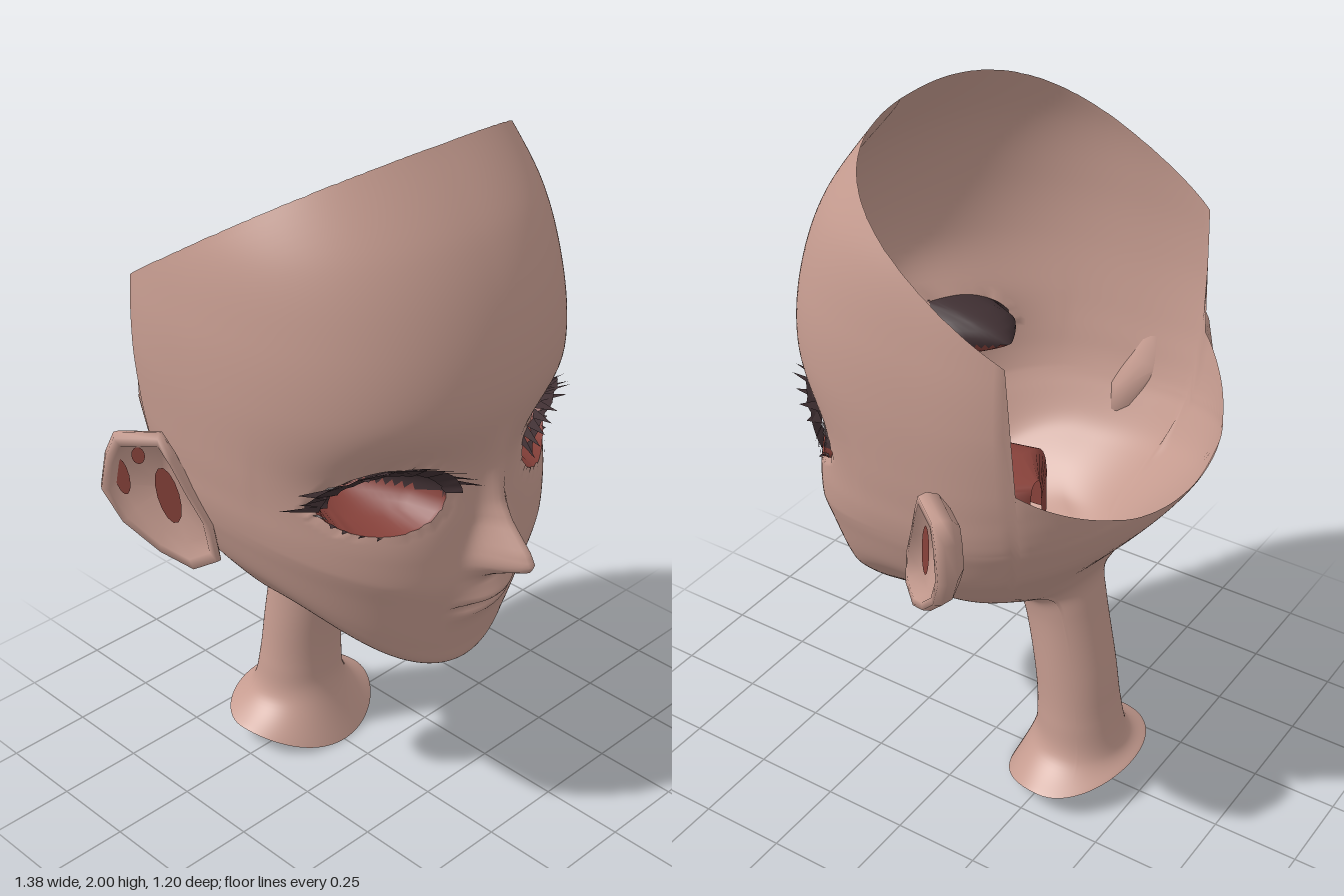
import * as THREE from 'three';

const mat = (name, color) => Object.assign(
  new THREE.MeshStandardMaterial({ color, side: THREE.DoubleSide }), { name });
const skin = mat('skin', 0xc69c90);
const red = mat('innerRed', 0x88423b);
const dark = mat('lashDark', 0x403033);

const COLS = 180, STEP = 9;

// Cross-sections, bottom to top: front y, front z, half width, side y, side z, back y, back z
const KEYS = [
  [0, -.1, .24, .07, -.3, .1, -.47],
  [.15, -.16, .15, .14, -.3, .14, -.43],
  [.25, -.17, .128, .25, -.29, .25, -.405],
  [.4, -.155, .12, .4, -.27, .4, -.385],
  [.58, -.115, .118, .6, -.24, .62, -.345],
  [.635, -.08, .14, .67, -.2, .72, -.335],
  [.625, .02, .22, .69, -.12, .8, -.37],
  [.575, .15, .29, .71, -.05, .88, -.42],
  [.535, .27, .355, .76, -.02, .95, -.48],
  [.555, .37, .415, .83, -.03, 1.02, -.54],
  [.63, .4, .455, .89, -.05, 1.09, -.59],
  [.78, .44, .49, .98, -.08, 1.17, -.62],
  [.86, .455, .505, 1.03, -.1, 1.2, -.62],
  [.95, .455, .515, 1.08, -.1, 1.25, -.62],
  [1.05, .455, .522, 1.14, -.1, 1.3, -.62],
  [1.2, .463, .533, 1.24, -.1, 1.35, -.62],
  [1.4, .5, .545, 1.42, -.1, 1.45, -.62],
  [1.6, .475, .54, 1.6, -.1, 1.6, -.62],
  [1.8, .395, .51, 1.8, -.1, 1.8, -.62],
  [2, .25, .43, 2, -.1, 2, -.55],
];
const LAST = KEYS.length - 1;

// Smooth interpolation between cross-sections
function section(v) {
  const i = Math.min(Math.floor(v), LAST - 1), t = v - i;
  const k = n => KEYS[THREE.MathUtils.clamp(n, 0, LAST)];
  return KEYS[i].map((b, n) => {
    const a = k(i - 1)[n], c = k(i + 1)[n], d = k(i + 2)[n];
    return b + .5 * t * (c - a + t * (2 * a - 5 * b + 4 * c - d + t * (3 * (b - c) + d - a)));
  });
}

// Piecewise linear lookup in a list of [x, value]
function table(pts, x) {
  if (x <= pts[0][0]) return pts[0][1];
  for (let i = 1; i < pts.length; i++) {
    const [a, p] = pts[i - 1], [b, q] = pts[i];
    if (x < b) return p + (q - p) * (x - a) / (b - a);
  }
  return pts[pts.length - 1][1];
}
const FRONT_POWER = [[5, 2], [8, 1.8], [12, 2.25]];
const BACK_POWER = [[5, 2], [12, 2.1], [16, 2.5]];
const NOSE = [[.86, 0], [.885, .03], [.91, .09], [.93, .14], [.95, .15], [.98, .135],
  [1.05, .07], [1.1, .038], [1.2, .015], [1.32, 0]];
const NOSE_WIDTH = [[.88, .06], [.95, .054], [1.05, .036], [1.3, .035]];
const LIPS = [[-.13, 0], [-.09, 0], [-.055, .006], [-.03, .02], [-.012, .012], [0, -.01],
  [.012, .03], [.025, .038], [.05, .022], [.09, 0]];
const bell = (d, s) => Math.exp(-d * d / (s * s));

// Eye opening: below 1 is inside
const EX = .285, EY = 1.16, EW = .14, EUP = .09, EDOWN = .092;
const eyeField = (x, y) =>
  Math.hypot((Math.abs(x) - EX) / EW, (y - EY) / (y > EY ? EUP : EDOWN));

// Point of the smooth head and neck surface
function basePoint(th, v) {
  const [yF, zF, w, yS, zS, yB, zB] = section(v);
  const s = Math.sin(th), c = Math.cos(th), p = table(c > 0 ? FRONT_POWER : BACK_POWER, v);
  const r = (Math.abs(s) ** p + Math.abs(c) ** p) ** (-1 / p);
  return [w * s * r, yS + ((c > 0 ? yF : yB) - yS) * c * c, zS + Math.abs((c > 0 ? zF : zB) - zS) * c * r];
}

// Slanted open rim of the skull, with a step behind the ears
function aboveRim(y, z) {
  const step = -.36 - .2 * Math.max(0, y - 1.4);
  return y >= (z > step ? 2 - (.25 - z) * .62 : 1.27 + (z + .37) * .7);
}
function topOf(th) {
  for (let v = 8; v < LAST; v += .01) {
    const [, y, z] = basePoint(th, v);
    if (y > 1 && aboveRim(y, z)) return v;
  }
  return LAST;
}

function facePoint(th, v) {
  let [x, y, z] = basePoint(th, v);
  if (z > .1 && v > 9) {
    const ax = Math.abs(x);
    z += table(NOSE, y) * bell(x, table(NOSE_WIDTH, y));
    z += table(LIPS, y - .785 - .4 * x * x) * Math.max(0, 1 - (x / .13) ** 2);
    z -= .06 * bell(ax - .28, .15) * bell(y - 1.2, .11);
    const e = eyeField(x, y);
    if (e > .88 && e < 1.12) {
      x = Math.sign(x) * (EX + (ax - EX) / e);
      y = EY + (y - EY) / e;
    } else if (e < 1) z -= .2 * (1 - e) ** .6;
  }
  return [x, y, z];
}

// Head, neck and sunken eyes share one grid, split by colour
function buildHead(group) {
  const rows = LAST * STEP, pos = [], index = { skin: [], red: [], dark: [] };
  for (let i = 0; i < COLS; i++) {
    const u = i / COLS * Math.PI * 2, th = u - .4 * Math.sin(u), top = topOf(th);
    for (let j = 0; j <= rows; j++) pos.push(...facePoint(th, j / rows * top));
  }
  const inEye = n => pos[n * 3 + 2] > .03 && eyeField(pos[n * 3], pos[n * 3 + 1]) < 1.001;
  const tri = (...t) => {
    const y = t.reduce((sum, n) => sum + pos[n * 3 + 1] / 3, 0);
    index[t.every(inEye) ? (y > 1.155 ? 'dark' : 'red') : 'skin'].push(...t);
  };
  for (let i = 0; i < COLS; i++) for (let j = 0; j < rows; j++) {
    const a = i * (rows + 1) + j, b = ((i + 1) % COLS) * (rows + 1) + j;
    tri(a, b, b + 1);
    tri(a, b + 1, a + 1);
  }
  group.add(mesh('headAndNeck', pos, index.skin, skin));
  group.add(mesh('lowerEyeSockets', pos, index.red, red));
  group.add(mesh('upperEyeSockets', pos, index.dark, dark));
  // Depth of the face at a given x, y
  return (x, y) => {
    let best = 1, z = .4;
    for (let n = 0; n < pos.length; n += 3) {
      if (pos[n + 2] < .1 || eyeField(pos[n], pos[n + 1]) < .99) continue;
      const d = Math.hypot(pos[n] - x, pos[n + 1] - y);
      if (d < best) { best = d; z = pos[n + 2]; }
    }
    return z;
  };
}

function mesh(name, pos, idx, m) {
  const g = new THREE.BufferGeometry();
  g.setAttribute('position', new THREE.Float32BufferAttribute(pos, 3));
  g.setIndex(idx);
  g.computeVertexNormals();
  return Object.assign(new THREE.Mesh(g, m), { name });
}

// Lash band over the eye, widest at the outer corner, with pointed hairs
function buildLashes(faceZ) {
  const pos = [], idx = [];
  const point = (a, e, lift) => {
    const s = Math.sin(a), x = EX + Math.cos(a) * EW * e, y = EY + s * (s > 0 ? EUP : EDOWN) * e;
    pos.push(x, y, faceZ(x, y) + lift);
    return pos.length / 3 - 1;
  };
  const N = 24;
  for (let i = 0; i <= N; i++) {
    const t = i / N, a = .02 + t * (Math.PI - .15);
    const n = point(a, .9, .012);
    point(a, 1.1 + .1 * Math.sin(t * Math.PI) + .14 * (1 - t), .04);
    if (i) idx.push(n - 2, n, n - 1, n, n + 1, n - 1);
  }
  const hair = (a, half, root, tip, lift, lean) =>
    idx.push(point(a - half, root, .012), point(a + half, root, .012), point(a + lean, tip, lift));
  for (let i = 0; i < 13; i++)
    hair(.05 + i * .225, .12, 1.05, i % 2 ? 1.38 : 1.55 - i * .012, .07, i < 8 ? -.1 : .1);
  for (let i = 0; i < 5; i++) hair(-.3 - i * .26, .04, .98, 1.08, .01, .04);
  return mesh('eyelashes', pos, idx, dark);
}

// Ear: outline shrunk into loops from the back, round the rim, into the bowl
function buildEar() {
  const outline = [[.3, 1.2], [.42, 1.265], [.83, 1.26], [.92, 1.2], [.98, 1.1], [.8, 1],
    [.46, .91], [.15, .86], [-.08, .89], [-.02, 1], [.15, 1.1]];
  const loops = [[.02, -.075], [.65, -.06], [.93, -.03], [1, 0], [.96, .022], [.83, .022], [.7, -.012], [.02, -.025]];
  const pos = [], idx = [], n = outline.length;
  loops.forEach(([s, h], k) => outline.forEach(([u, y], i) => {
    pos.push((.42 + (u - .42) * s) * .292, 1.09 + (y - 1.09) * s, h);
    if (!k) return;
    const a = k * n + i, b = k * n + (i + 1) % n;
    idx.push(a - n, a, b - n, a, b, b - n);
  }));
  const ear = new THREE.Group();
  ear.add(mesh('earShell', pos, idx, skin));
  // Red hollows inside the bowl
  for (const [u, y, w, h, tilt] of [[.37, 1.08, .03, .085, -.2], [.78, 1.13, .02, .055, -.15], [.62, 1.195, .018, .025, 0]]) {
    const patch = new THREE.Mesh(new THREE.CircleGeometry(1, 14), red);
    patch.name = 'earHollow';
    patch.scale.set(w, h, 1);
    patch.rotation.z = tilt;
    patch.position.set(u * .292, y, .002);
    ear.add(patch);
  }
  ear.position.set(.5, 0, -.08);
  ear.rotation.y = .907;
  return ear;
}

// Domed mouth cavity behind the lips: arches of [z, half width, height]
function buildMouth() {
  const arches = [[-.13, .03, .25], [-.03, .22, .26], [.12, .21, .24], [.22, .2, .2], [.37, .12, .08]];
  const pos = [], idx = [], N = 16;
  arches.forEach(([z, w, h], k) => {
    for (let i = 0; i <= N; i++) {
      const a = i / N * Math.PI, c = Math.cos(a);
      pos.push(w * Math.sign(c) * Math.abs(c) ** .6, .7 + h * Math.sin(a) ** .4, z);
      const p = k * (N + 1) + i, q = p - N - 1;
      if (k && i) idx.push(q - 1, p - 1, p, q - 1, p, q);
    }
  });
  return mesh('mouthCavity', pos, idx, red);
}

export function createModel() {
  const model = new THREE.Group();
  model.name = 'dollHead';
  const faceZ = buildHead(model);
  for (const side of [1, -1]) {
    const half = new THREE.Group();
    half.name = side > 0 ? 'leftEarAndLashes' : 'rightEarAndLashes';
    half.add(buildLashes(faceZ), buildEar());
    half.scale.x = side;
    model.add(half);
  }
  model.add(buildMouth());
  return model;
}
